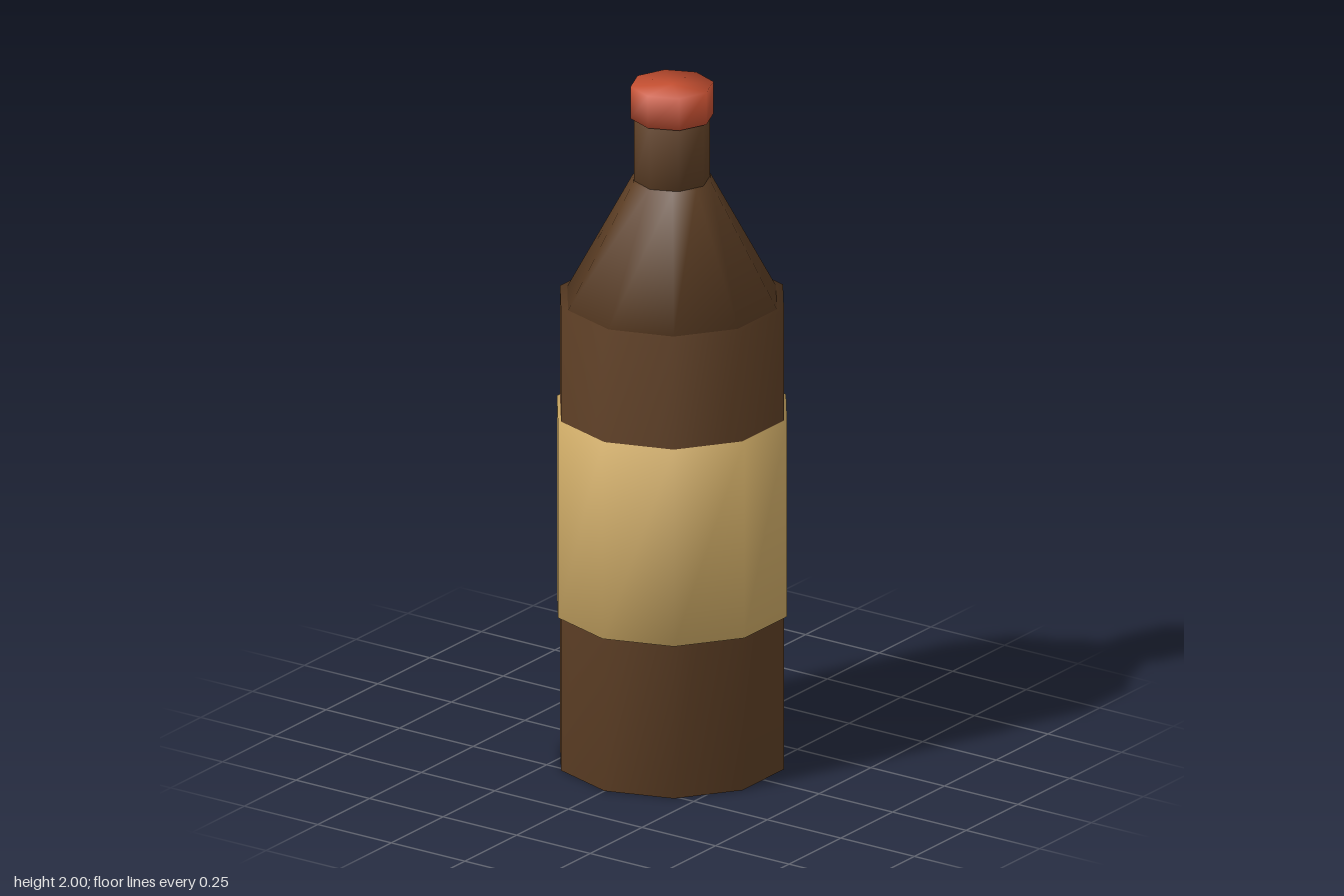
import * as THREE from 'three';
import { mergeVertices } from 'three/addons/utils/BufferGeometryUtils.js';

const makeMaterial = (name, color) => {
  const material = new THREE.MeshStandardMaterial({ color });
  material.name = name;
  return material;
};

// Closed low-poly cylinder whose normals blend softly over its rims
function softCylinder(topRadius, bottomRadius, bottom, top, sides) {
  const geometry = new THREE.CylinderGeometry(topRadius, bottomRadius, top - bottom, sides);
  geometry.deleteAttribute('uv');
  geometry.deleteAttribute('normal');
  const merged = mergeVertices(geometry, 1e-4);
  merged.computeVertexNormals();
  merged.translate(0, (bottom + top) / 2, 0);
  return merged;
}

export function createModel() {
  const glass = makeMaterial('brown glass', 0x5e3f25);
  const paper = makeMaterial('tan paper', 0xd2ae68);
  const red = makeMaterial('red cap', 0xc65032);

  // name, material, top radius, bottom radius, bottom y, top y, sides
  const parts = [
    ['body', glass, 0.326, 0.326, 0, 1.365, 10],
    ['label', paper, 0.335, 0.335, 0.455, 1.037, 10],
    ['shoulder', glass, 0.114, 0.305, 1.365, 1.72, 10],
    ['neck', glass, 0.107, 0.107, 1.715, 1.91, 8],
    ['cap', red, 0.117, 0.117, 1.905, 2, 8],
  ];

  const bottle = new THREE.Group();
  bottle.name = 'bottle';
  for (const [name, material, ...size] of parts) {
    const mesh = new THREE.Mesh(softCylinder(...size), material);
    mesh.name = name;
    bottle.add(mesh);
  }
  return bottle;
}
